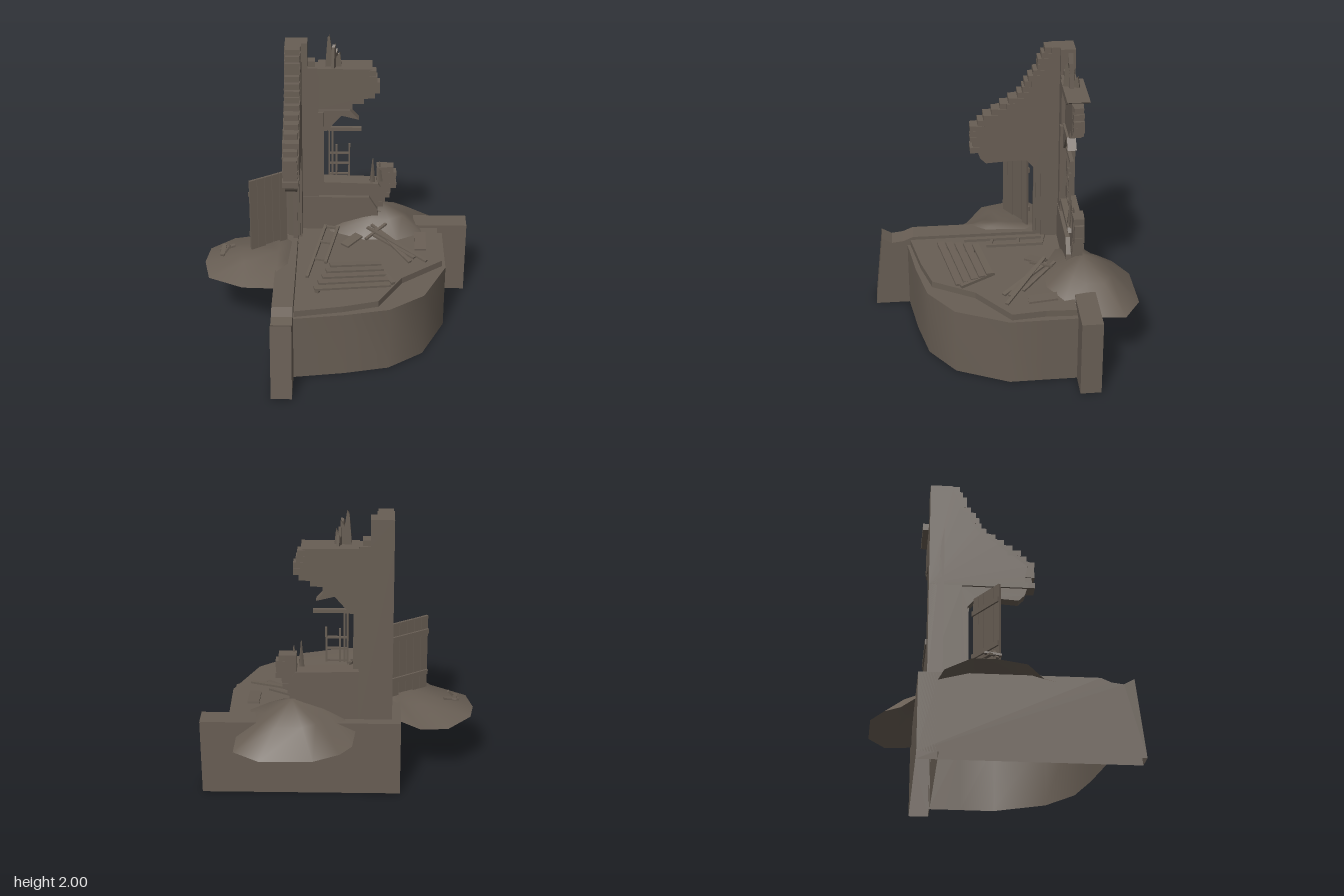
import * as THREE from 'three';

const stone = new THREE.MeshStandardMaterial({ color: 0x685e54, side: THREE.DoubleSide });
stone.name = 'weathered stone';

let seed = 7;
const rand = () => (seed = (seed * 16807) % 2147483647) / 2147483647;

function add(parent, name, geo, x = 0, y = 0, z = 0) {
  const m = new THREE.Mesh(geo, stone);
  m.name = name;
  m.position.set(x, y, z);
  parent.add(m);
  return m;
}
// box given by its low and high corners
function block(parent, name, [x0, y0, z0], [x1, y1, z1]) {
  return add(parent, name, new THREE.BoxGeometry(x1 - x0, y1 - y0, z1 - z0),
    (x0 + x1) / 2, (y0 + y1) / 2, (z0 + z1) / 2);
}
const shapeOf = pts => new THREE.Shape(pts.map(p => new THREE.Vector2(...p)));
const slab = (pts, depth) => new THREE.ExtrudeGeometry(shapeOf(pts), { depth, bevelEnabled: false });

// extruded outline with its underside at y = 0 left open
function openSlab(pts, depth) {
  const src = slab(pts, depth).getAttribute('position').array, keep = [];
  for (let i = 0; i < src.length; i += 9)
    if (Math.max(src[i + 1], src[i + 4], src[i + 7]) > 1e-4) keep.push(...src.slice(i, i + 9));
  const g = new THREE.BufferGeometry();
  g.setAttribute('position', new THREE.Float32BufferAttribute(keep, 3));
  g.computeVertexNormals();
  return g;
}

// bar between two points
function bar(parent, name, a, b, w, h) {
  const A = new THREE.Vector3(...a), B = new THREE.Vector3(...b);
  const m = add(parent, name, new THREE.BoxGeometry(w, h, A.distanceTo(B)));
  m.position.copy(A).lerp(B, 0.5);
  m.lookAt(B);
}

// wall piece whose free edge is broken into brick courses; edge = [y, s] pairs
function brokenWall(parent, name, s0, y0, y1, edge, t) {
  const at = y => {
    let i = 0;
    while (i < edge.length - 2 && y > edge[i + 1][0]) i++;
    const [ya, sa] = edge[i], [yb, sb] = edge[i + 1];
    return sa + (sb - sa) * THREE.MathUtils.clamp((y - ya) / (yb - ya), 0, 1);
  };
  const n = Math.round((y1 - y0) / 0.04), h = (y1 - y0) / n;
  const pts = [[s0, y0]];
  for (let i = 0; i < n; i++) {
    const y = y0 + i * h, s = at(y + h / 2) + (rand() - 0.5) * 0.035;
    pts.push([s - 0.045, y], [s - 0.045, y + h]);
    const w = t * (0.8 + rand() * 0.22);
    block(parent, 'brick', [s - 0.09, y, (t - w) / 2], [s, y + h, (t + w) / 2]);
  }
  pts.push([s0, y1]);
  add(parent, name, slab(pts, t));
}

// rubble heap: peak, bulged middle ring, outer rim
function heap(parent, name, peak, rim, bulge) {
  const n = rim.length, pos = [...peak], idx = [];
  for (const r of rim) pos.push(...r.map((c, k) => (c + peak[k]) / 2 + (k === 1 ? bulge : 0)));
  for (const r of rim) pos.push(...r);
  for (let i = 0; i < n; i++) {
    const a = 1 + i, b = 1 + (i + 1) % n;
    idx.push(0, b, a, a, b, b + n, a, b + n, a + n);
  }
  const g = new THREE.BufferGeometry();
  g.setAttribute('position', new THREE.Float32BufferAttribute(pos, 3));
  g.setIndex(idx);
  g.computeVertexNormals();
  add(parent, name, g);
}

export function createModel() {
  const root = new THREE.Group();
  root.name = 'ruined corner house';

  // corner frame: x runs along the right wall, z along the left wall
  const corner = new THREE.Group();
  corner.name = 'corner walls';
  corner.position.set(0.14, 0, -0.6);
  corner.rotation.y = -0.889;
  root.add(corner);
  const right = new THREE.Group(), left = new THREE.Group();
  right.name = 'rightWall';
  left.name = 'leftWall';
  right.position.z = 0.06;
  left.position.x = 0.17;
  left.rotation.y = -Math.PI / 2;
  corner.add(right, left);

  // hollow foundations
  add(corner, 'rightFoundation', openSlab([[0, 0], [1.34, 0], [1.34, 0.54], [0, 0.54]], 0.14));
  add(corner, 'leftFoundation', openSlab([[0, 0], [1.46, 0], [1.4, 0.54], [1.33, 0.5],
    [1.25, 0.51], [1.18, 0.54], [0, 0.54]], 0.14), 0.14).rotation.y = -Math.PI / 2;

  // right wall with its window gap
  block(right, 'rightColumn', [0.06, 0.5, 0], [0.285, 1.78, 0.1]);
  block(right, 'columnTop', [0.06, 1.78, 0], [0.21, 1.96, 0.1]);
  block(right, 'columnBrick', [0.2, 1.78, 0.01], [0.26, 1.82, 0.08]);
  brokenWall(right, 'upperArm', 0.27, 1.46, 1.75,
    [[1.46, 0.5], [1.52, 0.6], [1.6, 0.71], [1.68, 0.68], [1.77, 0.65]], 0.075);
  brokenWall(right, 'lowerWall', 0.2, 0.5, 0.88, [[0.5, 0.69], [0.7, 0.72], [0.8, 0.78], [0.88, 0.83]], 0.075);
  brokenWall(right, 'windowStub', 0.69, 0.88, 1.01, [[0.88, 0.84], [0.95, 0.83], [1.01, 0.77]], 0.075);
  add(right, 'brokenLedge', slab([[0.28, 1.73], [0.56, 1.73], [0.65, 1.78], [0.28, 1.78]], 0.15), 0, 0, -0.04);
  add(right, 'plasterBand', slab([[0.17, 0.5], [0.72, 0.5], [0.7, 0.68], [0.64, 0.78], [0.17, 0.78]], 0.035), 0, 0, 0.07);

  // left wall with its doorway
  block(left, 'leftColumn', [0.06, 0.5, 0], [0.28, 1.2, 0.11]);
  brokenWall(left, 'leftUpperWall', 0.06, 1.2, 1.96, [[1.2, 0.76], [1.36, 0.77], [1.42, 0.72], [1.5, 0.62],
    [1.58, 0.51], [1.64, 0.42], [1.72, 0.37], [1.82, 0.31], [1.96, 0.25]], 0.11);
  add(left, 'crackedLintel', slab([[0.27, 1.21], [0.72, 1.21], [0.7, 1.15], [0.66, 1.11], [0.5, 1.12],
    [0.38, 1.12], [0.32, 1.05], [0.31, 0.55], [0.27, 0.55]], 0.08), 0, 0, 0.015);
  block(left, 'doorJamb', [0.29, 0.54, 0.03], [0.33, 1.15, 0.06]);

  // window surround and casement
  block(right, 'windowJamb', [0.28, 0.88, 0.03], [0.32, 1.45, 0.11]);
  add(right, 'windowSill', slab([[0.28, 0.9], [0.28, 0.86], [0.72, 0.86], [0.7, 0.89]], 0.11), 0, 0, -0.01);
  add(right, 'brokenHead', slab([[0.28, 1.46], [0.5, 1.46], [0.56, 1.39], [0.44, 1.42], [0.34, 1.3], [0.28, 1.3]], 0.06),
    0, 0, 0.03);
  block(right, 'windowRail', [0.34, 1.295, 0.05], [0.58, 1.32, 0.075]);
  for (const [x, top] of [[0.35, 1.3], [0.372, 1.3], [0.4, 1.18], [0.49, 1.19]])
    block(right, 'casementPost', [x, 0.94, 0.055], [x + 0.013, top, 0.07]);
  for (const y of [0.945, 1.03, 1.11])
    block(right, 'casementRail', [0.36, y, 0.055], [0.5, y + 0.013, 0.07]);

  // splintered remains on top of the ledge and the window stub
  const shard = [[0, 0], [0.11, 0], [0.1, 0.1], [0.075, 0.06], [0.07, 0.16], [0.045, 0.12], [0.03, 0.22], [0.015, 0.2]];
  add(right, 'plasterShard', slab(shard, 0.03), 0.33, 1.78, 0.04);
  add(right, 'plasterShard', slab(shard.map(([x, y]) => [x, y * 0.75]), 0.02), 0.37, 1.78, 0.1).rotation.y = 1.2;
  for (const [x, z, h, r] of [[0.45, 0, 0.18, 0.025], [0.49, 0.03, 0.15, 0.03]])
    add(root, 'splinter', new THREE.CylinderGeometry(0.004, r, h, 4), x, 0.9 + h / 2, z);

  // curved floor platform: open skirt, low rim and raised floor
  const rim = [[-0.72, 0.28], [-0.47, 0.51], [-0.23, 0.7], [0.05, 0.775], [0.42, 0.68], [0.6, 0.53], [0.77, 0.39]];
  const pos = [], idx = [];
  rim.forEach(([x, z], i) => {
    pos.push(x, 0, z, x, 0.475, z);
    if (i) idx.push(2 * i - 2, 2 * i, 2 * i - 1, 2 * i - 1, 2 * i, 2 * i + 1);
  });
  const skirt = new THREE.BufferGeometry();
  skirt.setAttribute('position', new THREE.Float32BufferAttribute(pos, 3));
  skirt.setIndex(idx);
  skirt.computeVertexNormals();
  add(root, 'floorSkirt', skirt);
  const flat = pts => pts.map(([x, z]) => [x, -z]);
  add(root, 'floorRim', new THREE.ShapeGeometry(shapeOf(flat([...rim, [0.12, -0.4]]))), 0, 0.475, 0)
    .rotation.x = -Math.PI / 2;
  add(root, 'floor', slab(flat([[-0.7, 0.27], [-0.45, 0.48], [-0.25, 0.62], [0.07, 0.57], [0.42, 0.65],
    [0.58, 0.49], [0.74, 0.37], [0.12, -0.4]]), 0.055), 0, 0.465, 0).rotation.x = -Math.PI / 2;

  // rubble heaps
  heap(root, 'rightRubble', [0.55, 0.69, 0], [[0.3, 0.5, -0.35], [0.42, 0.42, -0.41], [0.55, 0.42, -0.415],
    [0.73, 0.42, -0.34], [0.96, 0.42, -0.07], [0.98, 0.42, 0.14], [0.8, 0.43, 0.28], [0.62, 0.51, 0.34],
    [0.42, 0.51, 0.26], [0.26, 0.51, 0.05], [0.2, 0.51, -0.2]], 0.02);
  heap(root, 'leftRubble', [-0.27, 0.56, -0.25], [[0.06, 0.5, -0.5], [-0.04, 0.43, -0.63], [-0.18, 0.42, -0.755],
    [-0.4, 0.43, -0.78], [-0.54, 0.42, -0.7], [-0.66, 0.41, -0.55], [-0.61, 0.42, -0.28], [-0.56, 0.5, -0.02],
    [-0.35, 0.51, -0.05], [0, 0.51, -0.3]], 0.02);

  // plank door standing open outside
  const door = new THREE.Group();
  door.name = 'door';
  door.position.set(-0.235, 0.55, -0.37);
  door.rotation.y = -0.34;
  root.add(door);
  for (let i = 0; i < 5; i++)
    block(door, 'doorPlank', [-0.14 + i * 0.057, rand() * 0.02, -0.008], [-0.087 + i * 0.057, 0.55, 0.008]);
  for (const y of [0.11, 0.42]) block(door, 'doorBatten', [-0.14, y, -0.02], [0.145, y + 0.035, -0.008]);

  // collapsed board panel
  for (let i = 0; i < 5; i++) {
    const x = i * 0.062, z = -i * 0.018, y = 0.535 + i * 0.008;
    bar(root, 'floorBoard', [-0.46 + x, y + 0.03, 0.24 + z], [-0.06 + x * 0.5, y, 0.57 - i * 0.045], 0.045, 0.015);
  }
  bar(root, 'boardBatten', [-0.04, 0.535, 0.58], [0.06, 0.55, 0.34], 0.03, 0.02);
  bar(root, 'boardBatten', [-0.46, 0.545, 0.26], [-0.2, 0.56, 0.19], 0.03, 0.02);

  // fallen frame
  const p = t => [-0.36 + 0.5 * t, 0.54 + 0.07 * t, 0.09 - 0.26 * t];
  const q = t => [-0.32 + 0.5 * t, 0.54 + 0.07 * t, 0.17 - 0.26 * t];
  bar(root, 'frameRail', p(0), p(1), 0.02, 0.02);
  bar(root, 'frameRail', q(0.3), q(1), 0.02, 0.02);
  for (const t of [0.35, 0.68, 0.98]) bar(root, 'frameRung', p(t), q(t), 0.02, 0.015);

  // loose planks and chips
  for (const [a, b, w] of [[[0.3, 0.62, 0.08], [0.33, 0.53, 0.58], 0.025], [[0.34, 0.61, 0.12], [0.25, 0.53, 0.5], 0.03],
    [[0.29, 0.59, 0.15], [0.3, 0.54, 0.5], 0.03], [[0.22, 0.58, 0.13], [0.41, 0.63, 0.16], 0.02],
    [[0.37, 0.6, 0.06], [0.34, 0.54, 0.4], 0.02], [[0.42, 0.53, 0.46], [0.57, 0.55, 0.34], 0.08],
    [[0.12, 0.53, 0.02], [0.27, 0.55, 0.03], 0.07], [[-0.49, 0.5, -0.58], [-0.4, 0.52, -0.64], 0.03],
    [[-0.45, 0.5, -0.64], [-0.36, 0.52, -0.58], 0.025], [[-0.47, 0.48, -0.6], [-0.42, 0.55, -0.57], 0.02]])
    bar(root, 'loosePlank', a, b, w, 0.014);

  return root;
}
